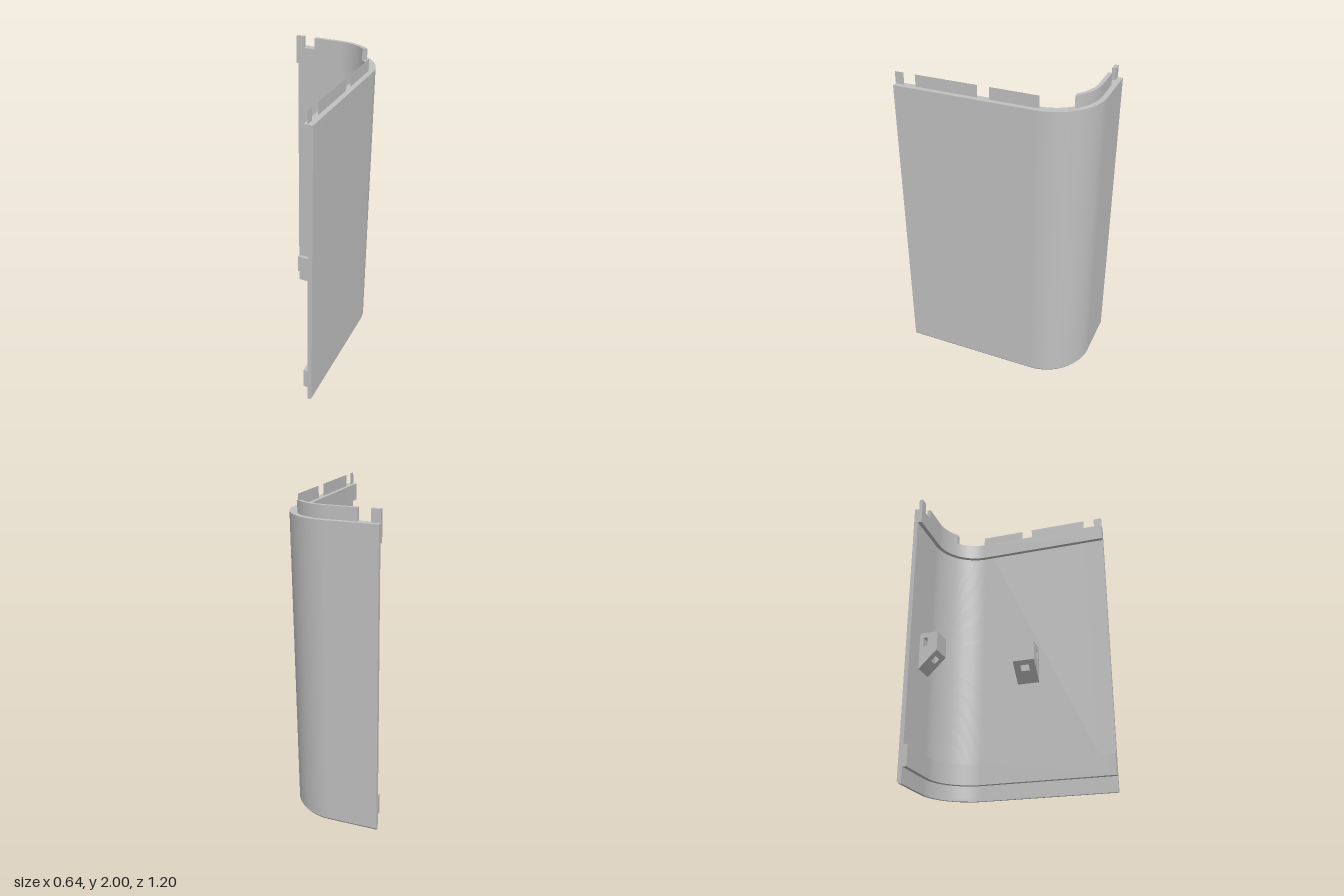
import * as THREE from 'three';
import { toCreasedNormals } from 'three/addons/utils/BufferGeometryUtils.js';

const R = 0.318;     // outer bend radius
const SKIN = 0.29;   // inner face of the panel
const RIB = 0.262;   // inner face of the ribs
const C = 0.282;     // distance of the bend centre behind the origin
const TOP = 1.925;

export function createModel() {
  const model = new THREE.Group();
  const grey = new THREE.MeshStandardMaterial({ color: 0xc0c0c0, side: THREE.DoubleSide });

  function add(name, geometry, parent = model) {
    const mesh = new THREE.Mesh(geometry, grey);
    mesh.name = name;
    parent.add(mesh);
    return mesh;
  }

  // Extrude a plan shape (x, -z) upwards from y0 to y1
  function rise(shape, y0, y1) {
    const g = new THREE.ExtrudeGeometry(shape, { depth: y1 - y0, bevelEnabled: false, curveSegments: 32 });
    return g.rotateX(-Math.PI / 2).translate(0, y0, 0);
  }

  // Plan of a strip that follows the back, the bend and the side
  function strip(inner, outer) {
    const s = new THREE.Shape();
    s.moveTo(-R, C + outer);
    s.lineTo(0, C + outer);
    s.absarc(0, C, outer, Math.PI / 2, 0, true);
    s.lineTo(outer, -0.6);
    s.lineTo(inner, -0.6);
    s.lineTo(inner, C);
    s.absarc(0, C, inner, 0, Math.PI / 2, false);
    s.lineTo(-R, C + inner);
    return s;
  }

  // Curved panel with a chamfered lower outer edge
  add('panel', toCreasedNormals(rise(strip(SKIN, R), 0.015, TOP), 0.4));
  const foot = rise(strip(SKIN, R), 0, 0.015);
  const p = foot.attributes.position;
  for (let i = 0; i < p.count; i++) {
    if (p.getY(i) > 0.001) continue;
    const cx = Math.min(p.getX(i), 0), cz = Math.max(p.getZ(i), -C);
    const dx = p.getX(i) - cx, dz = p.getZ(i) - cz;
    if (Math.hypot(dx, dz) < 0.3) continue;
    const k = (R - 0.011) / R;
    p.setXYZ(i, cx + dx * k, 0, cz + dz * k);
  }
  add('chamferedFoot', toCreasedNormals(foot, 0.4));

  // Inner reinforcing ribs
  add('lowerRib', toCreasedNormals(rise(strip(RIB, SKIN), 0.1, 0.237), 0.4));
  add('upperRib', toCreasedNormals(rise(strip(RIB, SKIN), 1.815, TOP), 0.4));

  // Tabs on the back and around the bend
  const tabOut = 0.286;
  add('backTab', new THREE.BoxGeometry(0.056, 2 - TOP, tabOut - RIB)
    .translate(-R + 0.028, (2 + TOP) / 2, -C - (RIB + tabOut) / 2));
  const endIn = Math.asin(0.195 / RIB), endOut = Math.asin(0.195 / tabOut);
  const bend = new THREE.Shape();
  bend.moveTo(-0.185, C + tabOut);
  bend.lineTo(0, C + tabOut);
  bend.absarc(0, C, tabOut, Math.PI / 2, endOut, true);
  bend.lineTo(RIB * Math.cos(endIn), C + 0.195);
  bend.absarc(0, C, RIB, endIn, Math.PI / 2, false);
  bend.lineTo(-0.185, C + RIB);
  add('bendTab', toCreasedNormals(rise(bend, TOP, 2), 0.4));

  // Thin sheet tabs along the side
  for (const [z0, z1] of [[-0.3, 0], [0.073, 0.468], [0.543, 0.6]]) {
    add('sideTab', new THREE.PlaneGeometry(z1 - z0, 2 - TOP)
      .rotateY(Math.PI / 2).translate(tabOut, (2 + TOP) / 2, (z0 + z1) / 2));
  }

  // Bracket profile between two depths measured from the panel
  function profile(d0, d1, withHole) {
    const low = (d) => 0.778 + d * 0.992;
    const s = new THREE.Shape();
    s.moveTo(d0, low(d0));
    s.lineTo(d1, low(d1));
    s.lineTo(d1, 1.03);
    s.lineTo(d0, 1.03);
    s.closePath();
    if (withHole) {
      const h = new THREE.Path();
      h.moveTo(0.025, 0.933);
      h.lineTo(0.025, 0.995);
      h.lineTo(0.055, 0.995);
      h.lineTo(0.055, 0.933);
      h.closePath();
      s.holes.push(h);
    }
    return s;
  }

  // Bracket with a cross hole and a vertical slot, split around the slot
  function bracket(name) {
    const g = new THREE.Group();
    g.name = name;
    const slab = (part, shape, w0, w1) => add(part,
      new THREE.ExtrudeGeometry(shape, { depth: w1 - w0, bevelEnabled: false }).translate(0, 0, w0), g);
    slab('bracketCheek', profile(0, 0.123, true), -0.075, -0.03);
    slab('bracketCheek', profile(0, 0.123, true), 0.03, 0.075);
    slab('bracketRoot', profile(0, 0.067, true), -0.03, 0.03);
    slab('bracketLip', profile(0.098, 0.123, false), -0.03, 0.03);
    model.add(g);
    return g;
  }
  const back = bracket('backBracket');
  back.rotation.y = -Math.PI / 2;
  back.position.set(-0.1, 0, -C - SKIN);
  const side = bracket('sideBracket');
  side.rotation.y = Math.PI;
  side.position.set(SKIN, 0, 0.034);

  return model;
}
